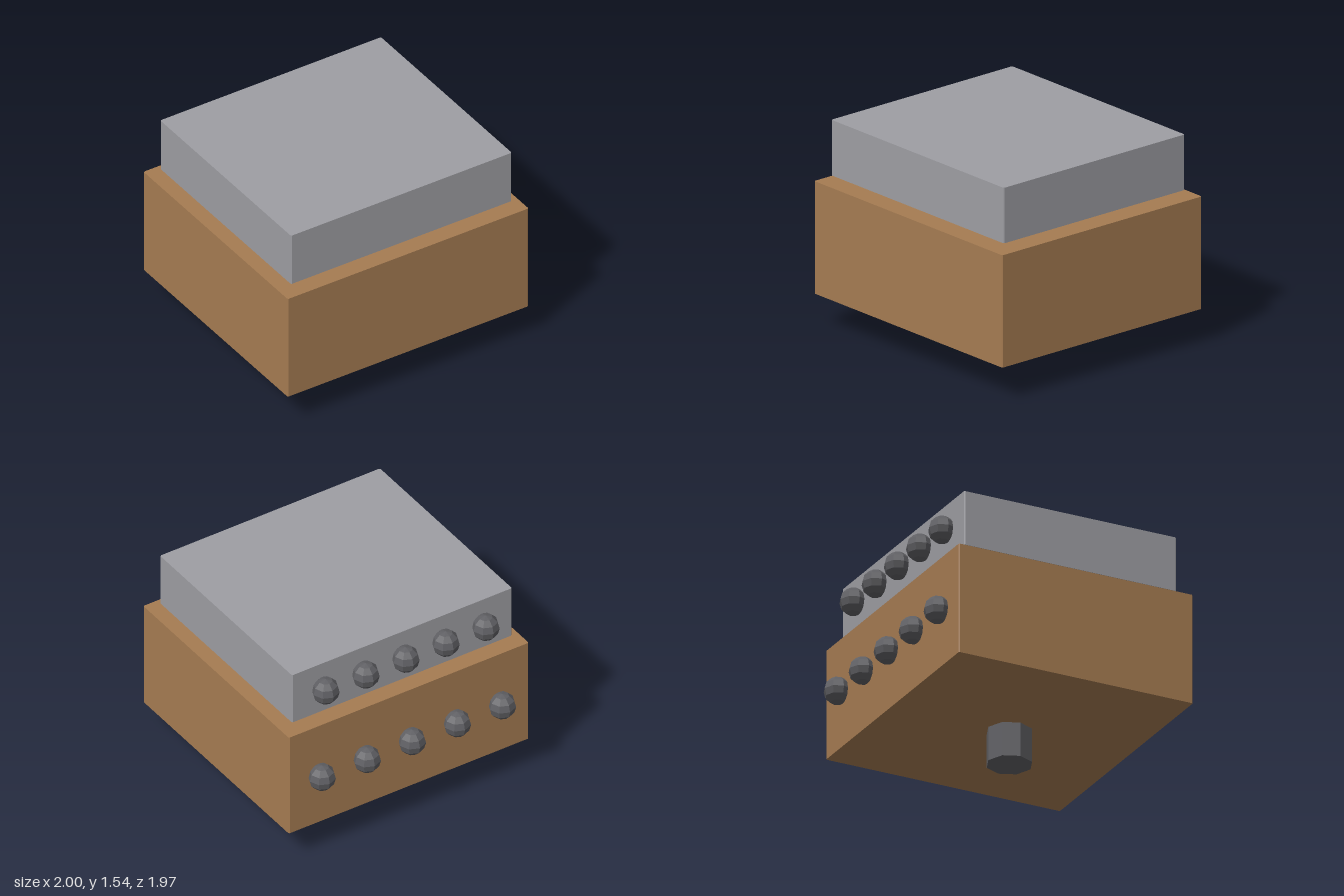
import * as THREE from 'three';

const CENTRE_Z = 0.07;
const material = (color) => new THREE.MeshStandardMaterial({ color, flatShading: true });

// Box with finely chamfered upright edges, standing from y0 to y1
function chamferedBlock(name, halfX, halfZ, y0, y1, mat) {
  const c = 0.008;
  const outline = new THREE.Shape([
    [halfX, c - halfZ], [halfX, halfZ - c], [halfX - c, halfZ], [c - halfX, halfZ],
    [-halfX, halfZ - c], [-halfX, c - halfZ], [c - halfX, -halfZ], [halfX - c, -halfZ],
  ].map(([x, y]) => new THREE.Vector2(x, y)));
  const geometry = new THREE.ExtrudeGeometry(outline, { depth: y1 - y0, bevelEnabled: false });
  geometry.rotateX(-Math.PI / 2);
  const mesh = new THREE.Mesh(geometry, mat);
  mesh.name = name;
  mesh.position.set(0, y0, CENTRE_Z);
  return mesh;
}

// Row of five round knobs half sunk into a back face
function knobRow(name, spacing, y, z, mat) {
  const row = new THREE.Group();
  row.name = name;
  const geometry = new THREE.SphereGeometry(0.1, 8, 6);
  for (let i = -2; i <= 2; i++) {
    const knob = new THREE.Mesh(geometry, mat);
    knob.name = 'knob';
    knob.position.set(i * spacing, y, z);
    row.add(knob);
  }
  return row;
}

export function createModel() {
  const model = new THREE.Group();
  model.name = 'twoTierBlock';
  const brown = material(0xa67c52);
  const grey = material(0x9e9ea3);
  const dark = material(0x606064);

  // Main body and the lid floating just above it
  model.add(chamferedBlock('body', 0.998, 0.915, 0.255, 1.085, brown));
  model.add(chamferedBlock('lid', 0.915, 0.83, 1.13, 1.54, grey));

  // Octagonal foot under the body
  const foot = new THREE.Mesh(new THREE.CylinderGeometry(0.165, 0.165, 0.255, 8), dark);
  foot.name = 'foot';
  foot.position.set(0, 0.1275, CENTRE_Z);
  model.add(foot);

  // Knobs along the back of each tier
  model.add(knobRow('bodyKnobs', 0.375, 0.67, -0.885, dark));
  model.add(knobRow('lidKnobs', 0.333, 1.335, -0.805, dark));
  return model;
}
